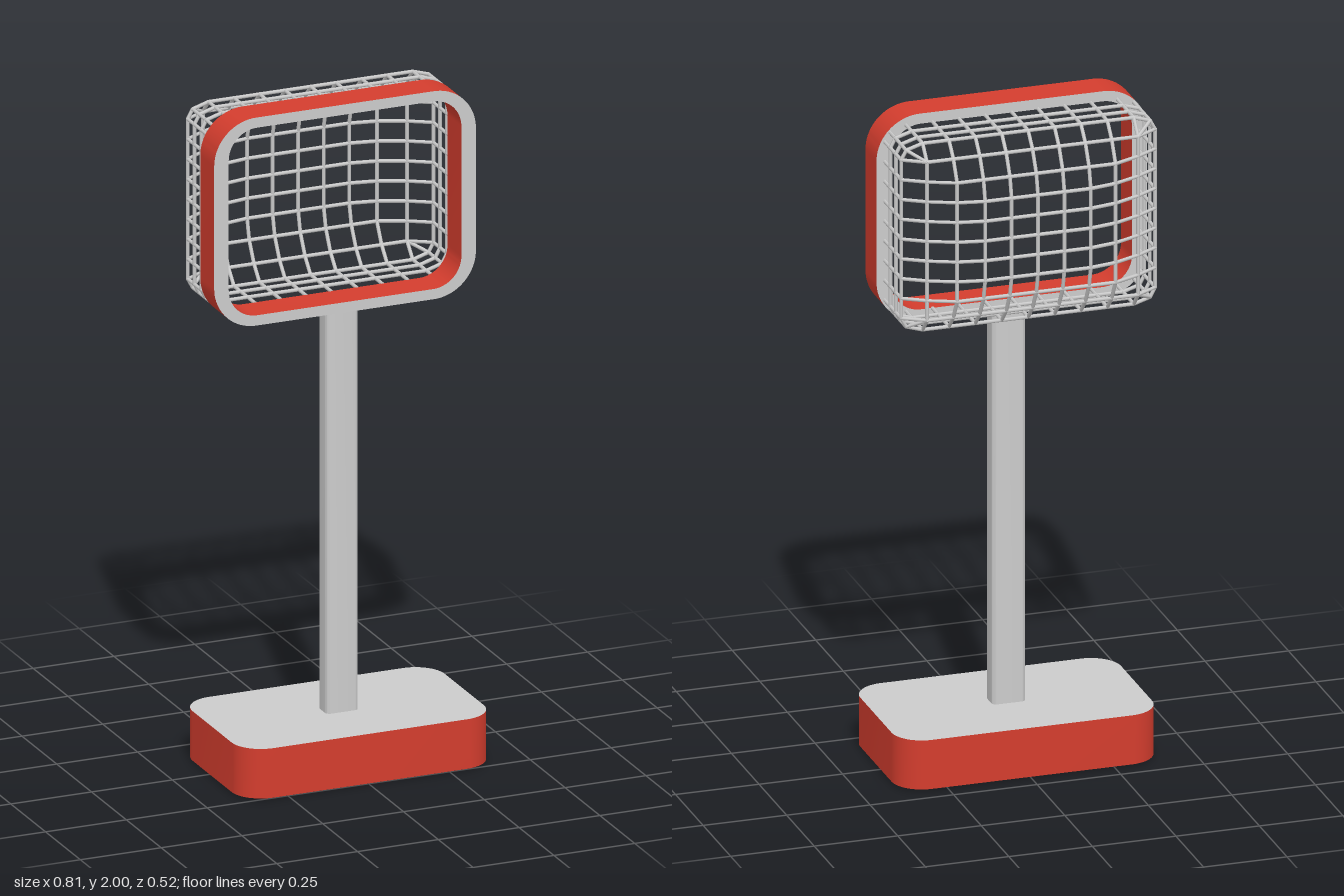
import * as THREE from 'three';
import { mergeGeometries, toCreasedNormals } from 'three/addons/utils/BufferGeometryUtils.js';

// Rounded rectangle centred on the origin
function roundedRect(hw, hh, r, PathType = THREE.Shape) {
  const p = new PathType();
  p.absarc(hw - r, hh - r, r, 0, Math.PI / 2);
  p.absarc(-hw + r, hh - r, r, Math.PI / 2, Math.PI);
  p.absarc(-hw + r, -hh + r, r, Math.PI, Math.PI * 1.5);
  p.absarc(hw - r, -hh + r, r, Math.PI * 1.5, Math.PI * 2);
  p.closePath();
  return p;
}

// Straight round wire between two points
function wire(a, b) {
  const dir = b.clone().sub(a);
  const g = new THREE.CylinderGeometry(0.0055, 0.0055, dir.length() + 0.003, 6, 1);
  g.applyQuaternion(new THREE.Quaternion().setFromUnitVectors(new THREE.Vector3(0, 1, 0), dir.normalize()));
  const mid = a.clone().add(b).multiplyScalar(0.5);
  return g.translate(mid.x, mid.y, mid.z);
}

export function createModel() {
  const group = new THREE.Group();
  const grey = new THREE.MeshStandardMaterial({ color: 0xcccccc });
  const red = new THREE.MeshStandardMaterial({ color: 0xd43d2e });
  const greySheet = new THREE.MeshStandardMaterial({ color: 0xcccccc, side: THREE.DoubleSide });
  const redSheet = new THREE.MeshStandardMaterial({ color: 0xd43d2e, side: THREE.DoubleSide });
  greySheet.name = 'grey sheet';
  redSheet.name = 'red sheet';
  grey.name = 'grey';
  red.name = 'red';
  const add = (name, geometry, material) => {
    const mesh = new THREE.Mesh(geometry, material);
    mesh.name = name;
    group.add(mesh);
    return mesh;
  };

  // Hollow base: a grey top plate over a red skirt, open underneath
  const baseShape = roundedRect(0.39, 0.23, 0.09);
  const baseTop = new THREE.ShapeGeometry(baseShape, 8);
  baseTop.rotateX(-Math.PI / 2).translate(0, 0.155, 0.03);
  add('baseTop', baseTop, greySheet);

  const outline = baseShape.getPoints(8);
  const positions = [];
  outline.forEach((p, i) => {
    const q = outline[(i + 1) % outline.length];
    if (p.distanceTo(q) < 1e-5) return;
    const [a, b, c, d] = [[p, 0.005], [q, 0.005], [q, 0.155], [p, 0.155]].map(([v, y]) => [v.x, y, 0.03 - v.y]);
    positions.push(...a, ...b, ...c, ...a, ...c, ...d);
  });
  const skirt = new THREE.BufferGeometry();
  skirt.setAttribute('position', new THREE.Float32BufferAttribute(positions, 3));
  add('baseSkirt', toCreasedNormals(skirt, 0.6), redSheet);

  // Post with softened edges
  const post = new THREE.ExtrudeGeometry(roundedRect(0.05, 0.0325, 0.014), { depth: 1.372, bevelEnabled: false, curveSegments: 4 });
  post.rotateX(-Math.PI / 2).translate(0, 0, 0.0325);
  add('post', toCreasedNormals(post, 0.6), grey);

  // Rounded frame: grey front and back, red outer and inner rims
  const frameShape = roundedRect(0.405, 0.315, 0.13);
  frameShape.holes.push(roundedRect(0.36, 0.284, 0.088, THREE.Path));
  const frame = new THREE.ExtrudeGeometry(frameShape, { depth: 0.1, bevelEnabled: false, curveSegments: 10 });
  frame.translate(0, 1.685, -0.02);
  add('frame', toCreasedNormals(frame, 0.6), [grey, red]);

  // Wire cage: straight sides, then a stepped dome at the back
  const X = 0.38, Y = 0.285, cx = 0.365, cy = 0.27;
  const dx = 0.079, dy = 0.0605;
  const depths = [-0.257, -0.257, -0.257, -0.242, -0.208, -0.168];
  const gridPoint = (i, j) => {
    const x = Math.abs(i) === 5 ? Math.sign(i) * X : i * dx;
    const y = Math.abs(j) === 5 ? Math.sign(j) * Y : j * dy;
    return new THREE.Vector3(x, y, depths[Math.max(Math.abs(i), Math.abs(j))]);
  };
  const wires = [];
  const atFrame = (p) => new THREE.Vector3(p.x, p.y, -0.02);

  // Columns and rows, each running over the dome and forward to the frame
  for (let k = -4; k <= 4; k++) {
    for (let m = -5; m < 5; m++) {
      wires.push(wire(gridPoint(k, m), gridPoint(k, m + 1)));
      wires.push(wire(gridPoint(m, k), gridPoint(m + 1, k)));
    }
    for (const e of [-5, 5]) {
      wires.push(wire(gridPoint(k, e), atFrame(gridPoint(k, e))));
      wires.push(wire(gridPoint(e, k), atFrame(gridPoint(e, k))));
    }
  }

  // Corner wires
  for (const sx of [-1, 1]) {
    for (const sy of [-1, 1]) {
      const corner = new THREE.Vector3(sx * cx, sy * cy, depths[5]);
      wires.push(wire(corner, atFrame(corner)), wire(corner, gridPoint(4 * sx, 4 * sy)));
    }
  }

  // Rings around the straight sides
  const ring = [[X, -4 * dy], [X, 4 * dy], [cx, cy], [4 * dx, Y], [-4 * dx, Y], [-cx, cy],
    [-X, 4 * dy], [-X, -4 * dy], [-cx, -cy], [-4 * dx, -Y], [4 * dx, -Y], [cx, -cy]];
  for (const z of [-0.07, -0.12, depths[5]]) {
    ring.forEach(([x, y], i) => {
      const [x2, y2] = ring[(i + 1) % ring.length];
      wires.push(wire(new THREE.Vector3(x, y, z), new THREE.Vector3(x2, y2, z)));
    });
  }
  add('wireCage', mergeGeometries(wires).translate(0, 1.685, 0), grey);

  return group;
}
